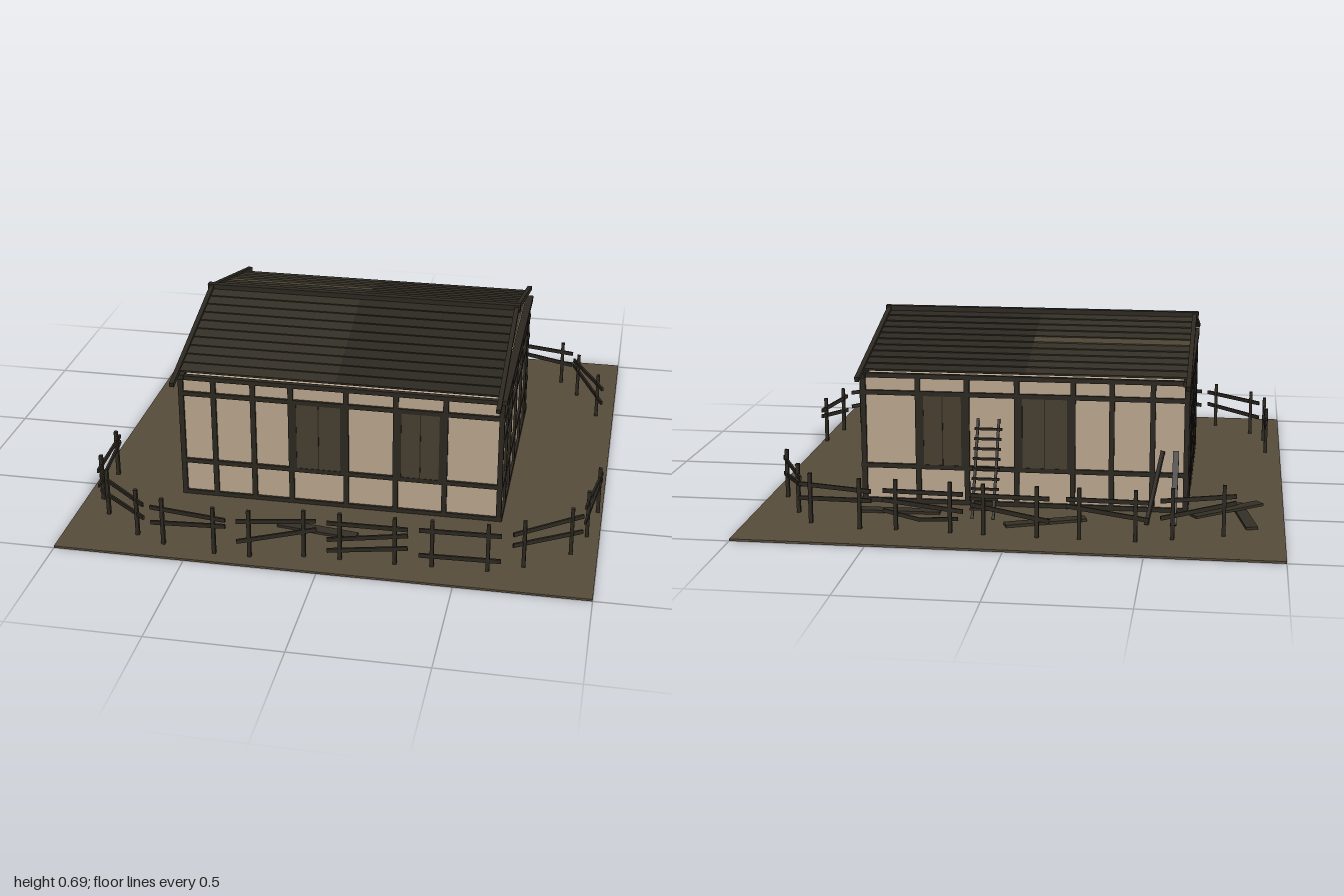
import * as THREE from 'three';

const mat = (name, color, side = THREE.FrontSide) => {
  const m = new THREE.MeshStandardMaterial({ color, side });
  m.name = name;
  return m;
};

export function createModel() {
  const earth = mat('earth', 0x564c3b);
  const plaster = mat('plaster', 0xbda990);
  const timber = mat('darkTimber', 0x2d2821);
  const roofA = mat('roofBoardLight', 0x343026);
  const roofB = mat('roofBoardDark', 0x2c2821);
  const worn = mat('wornBoard', 0x4c4434);
  const gableMat = mat('gableBoard', 0x534a3a, THREE.DoubleSide);
  const pane = mat('shutter', 0x484030);

  const model = new THREE.Group();
  model.name = 'timberHouse';
  const group = (name) => {
    const g = new THREE.Group();
    g.name = name;
    model.add(g);
    return g;
  };
  const add = (g, name, geo, m) => {
    const mesh = new THREE.Mesh(geo, m);
    mesh.name = name;
    g.add(mesh);
    return mesh;
  };
  // box given by its minimum and maximum corners
  const box = (g, name, m, x0, x1, y0, y1, z0, z1) => {
    const b = add(g, name, new THREE.BoxGeometry(x1 - x0, y1 - y0, z1 - z0), m);
    b.position.set((x0 + x1) / 2, (y0 + y1) / 2, (z0 + z1) / 2);
    return b;
  };
  // square bar from point a to point b
  const bar = (g, name, m, a, b, w, h = w) => {
    const p = new THREE.Vector3(...a), q = new THREE.Vector3(...b);
    const r = add(g, name, new THREE.BoxGeometry(w, h, p.distanceTo(q)), m);
    r.position.copy(p).lerp(q, 0.5);
    r.lookAt(q);
    return r;
  };

  // ground and plaster walls
  box(model, 'ground', earth, -1, 1, 0, 0.008, -1, 1);
  const X0 = -0.628, X1 = 0.615, Z0 = -0.48, Z1 = 0.51, TOP = 0.52;
  box(model, 'walls', plaster, X0, X1, 0.008, 0.515, Z0, Z1);

  // timber frame: front and back share the same layout
  const frame = group('timberFrame');
  const P = 0.01;
  for (const z of [Z0, Z1]) {
    for (const x of [-0.628, -0.5, -0.345, -0.197, 0.018, 0.21, 0.4, 0.612])
      box(frame, 'wallPost', timber, x - 0.01, x + 0.01, 0.008, TOP, z - P, z + P);
    for (const y of [0.016, 0.155, 0.445, 0.512])
      box(frame, 'wallRail', timber, X0 - P, X1 + P, y - 0.009, y + 0.009, z - P, z + P);
  }
  const sidePosts = {
    right: [0.385, 0.24, 0.04, -0.17, -0.36],
    left: [0.385, 0.24, 0.13, -0.03, -0.11, -0.32],
  };
  for (const [side, x] of [['right', X1], ['left', X0]]) {
    for (const z of sidePosts[side])
      box(frame, 'sidePost', timber, x - P, x + P, 0.008, TOP, z - 0.01, z + 0.01);
    for (const y of [0.016, 0.155, 0.355, 0.445, 0.512]) {
      // rails stop at the doorway on the left side
      const spans = side === 'left' && y < 0.3 ? [[Z0, -0.32], [-0.11, Z1]] : [[Z0, Z1]];
      for (const [a, b] of spans)
        box(frame, 'sideRail', timber, x - P, x + P, y - 0.009, y + 0.009, a - 0.01, b + 0.01);
    }
    box(frame, 'eaveBeamEnd', timber, x - 0.015, x + 0.015, 0.505, 0.525, Z0 - 0.035, Z1 + 0.015);
  }

  // shuttered windows and door
  const openings = group('openings');
  for (const [z, s] of [[Z0, -1], [Z1, 1]]) {
    for (const [a, b] of [[-0.187, 0.008], [0.22, 0.39]]) {
      const zz = z + s * 0.004, c = (a + b) / 2;
      box(openings, 'windowShutter', pane, a, b, 0.16, 0.44, zz - 0.004, zz + 0.004);
      for (const x of [a + 0.006, c, b - 0.006]) {
        const w = x === c ? 0.002 : 0.006;
        box(openings, 'windowStile', timber, x - w, x + w, 0.16, 0.44, zz - 0.006, zz + 0.006);
      }
    }
  }
  box(openings, 'sideWindow', pane, X0 - 0.008, X0, 0.16, 0.35, -0.02, 0.12);
  box(openings, 'sideWindowMullion', timber, X0 - 0.01, X0, 0.16, 0.35, 0.047, 0.053);
  box(openings, 'door', pane, X0 - 0.008, X0, 0.008, 0.35, -0.31, -0.12);
  for (const z of [-0.262, -0.215, -0.168])
    box(openings, 'doorSeam', timber, X0 - 0.01, X0, 0.008, 0.35, z - 0.003, z + 0.003);

  // broken plaster patch high on the right wall
  const patch = new THREE.Shape([[0.08, 0.51], [0.19, 0.51], [0.185, 0.41], [0.15, 0.415], [0.12, 0.425], [0.085, 0.42]]
    .map(([x, y]) => new THREE.Vector2(x, y)));
  const patchMesh = add(model, 'brokenPlaster', new THREE.ShapeGeometry(patch), gableMat);
  patchMesh.rotation.y = Math.PI / 2;
  patchMesh.position.x = X1 + 0.003;

  // gable triangles
  const tri = new THREE.Shape([[-0.51, 0.52], [0.51, 0.52], [0, 0.67]].map(([x, y]) => new THREE.Vector2(x, y)));
  for (const x of [0.597, -0.617]) {
    const g = add(model, 'gable', new THREE.ShapeGeometry(tri), gableMat);
    g.rotation.y = Math.PI / 2;
    g.position.x = x;
  }

  // roof: ten lapped board rows on each slope, two boards per row
  const roof = group('roof');
  const ROWS = 10, STEP = 0.0515, SLOPE = 0.262;
  for (const s of [1, -1]) {
    for (let i = 0; i < ROWS; i++) {
      const z = 0.005 + (i + 0.5) * STEP;
      for (const [a, b, base] of [[-0.632, -0.02, roofA], [-0.02, 0.6, roofB]]) {
        const isWorn = s < 0 && base === roofA && i === 4;
        const board = add(roof, 'roofBoard', new THREE.BoxGeometry(b - a, 0.008, STEP + 0.008), isWorn ? worn : base);
        board.position.set((a + b) / 2, 0.676 - SLOPE * z, s * z);
        board.rotation.x = s * (Math.atan(SLOPE) - 0.09);
      }
    }
    for (const x of [-0.634, 0.606])
      bar(roof, 'bargeBoard', timber, [x, 0.682, 0], [x, 0.521, s * 0.61], 0.018, 0.018);
  }
  box(roof, 'ridgeBeam', timber, -0.65, 0.62, 0.666, 0.695, -0.013, 0.013);

  // fence panels: x1, z1, x2, z2, lower rail height at each end
  const fence = group('fence');
  const panels = [
    [-0.94, 0.37, -0.93, 0.67, 0.13, 0.09], [-0.91, 0.7, -0.68, 0.89, 0.09, 0.1],
    [-0.65, 0.9, -0.35, 0.945, 0.09, 0.13], [-0.31, 0.945, -0.02, 0.89, 0.07, 0.12],
    [0.02, 0.895, 0.32, 0.89, 0.085, 0.13], [0.36, 0.885, 0.66, 0.875, 0.05, 0.05],
    [0.7, 0.855, 0.94, 0.675, 0.11, 0.09], [0.945, 0.61, 0.99, 0.33, 0.09, 0.13],
    [-0.82, -0.73, -0.55, -0.82, 0.13, 0.09], [-0.51, -0.85, -0.21, -0.84, 0.09, 0.13],
    [-0.15, -0.845, 0.14, -0.835, 0.07, 0.12], [0.17, -0.83, 0.47, -0.815, 0.09, 0.12],
    [0.51, -0.835, 0.8, -0.765, 0.12, 0.1], [0.81, -0.7, 0.95, -0.42, 0.13, 0.09],
  ];
  for (const [x1, z1, x2, z2, ya, yb] of panels) {
    bar(fence, 'upperRail', timber, [x1, 0.155, z1], [x2, 0.155, z2], 0.008, 0.016);
    bar(fence, 'lowerRail', timber, [x1, ya, z1], [x2, yb, z2], 0.008, 0.016);
    for (const t of [0.16, 0.84]) {
      const x = x1 + (x2 - x1) * t, z = z1 + (z2 - z1) * t;
      box(fence, 'fencePost', timber, x - 0.007, x + 0.007, 0.004, 0.2, z - 0.007, z + 0.007);
    }
  }
  bar(fence, 'looseRail', timber, [0.02, 0.04, 0.897], [0.32, 0.08, 0.895], 0.008, 0.016);
  bar(fence, 'brokenRail', timber, [0.19, 0.06, -0.825], [0.34, 0.04, -0.79], 0.008, 0.014);
  bar(fence, 'brokenRail', timber, [0.34, 0.04, -0.79], [0.47, 0.08, -0.815], 0.008, 0.014);

  // ladder leaning on the back wall
  const ladder = group('ladder');
  for (const x of [0.085, 0.165])
    bar(ladder, 'ladderRail', timber, [x, 0.008, -0.655], [x, 0.355, -0.49], 0.01);
  for (let i = 1; i < 10; i++) {
    const y = 0.008 + 0.0347 * i, z = -0.655 + 0.0165 * i;
    bar(ladder, 'rung', timber, [0.07, y, z - 0.006], [0.175, y, z - 0.006], 0.009);
  }

  // props and fallen planks
  const debris = group('debris');
  bar(debris, 'leaningPost', timber, [-0.59, 0.008, -0.65], [-0.59, 0.25, -0.495], 0.022);
  bar(debris, 'leaningPost', timber, [-0.49, 0.008, -0.65], [-0.54, 0.25, -0.495], 0.014);
  for (const [x1, z1, x2, z2, y] of [
    [-0.26, -0.615, 0.03, -0.73, 0.013], [0.295, -0.602, 0.605, -0.608, 0.013],
    [-0.21, 0.69, 0.1, 0.735, 0.013], [-0.91, -0.375, -0.66, -0.57, 0.023], [-0.88, -0.66, -0.82, -0.36, 0.013],
  ]) bar(debris, 'fallenPlank', roofA, [x1, y, z1], [x2, y, z2], 0.045, 0.01);

  return model;
}
